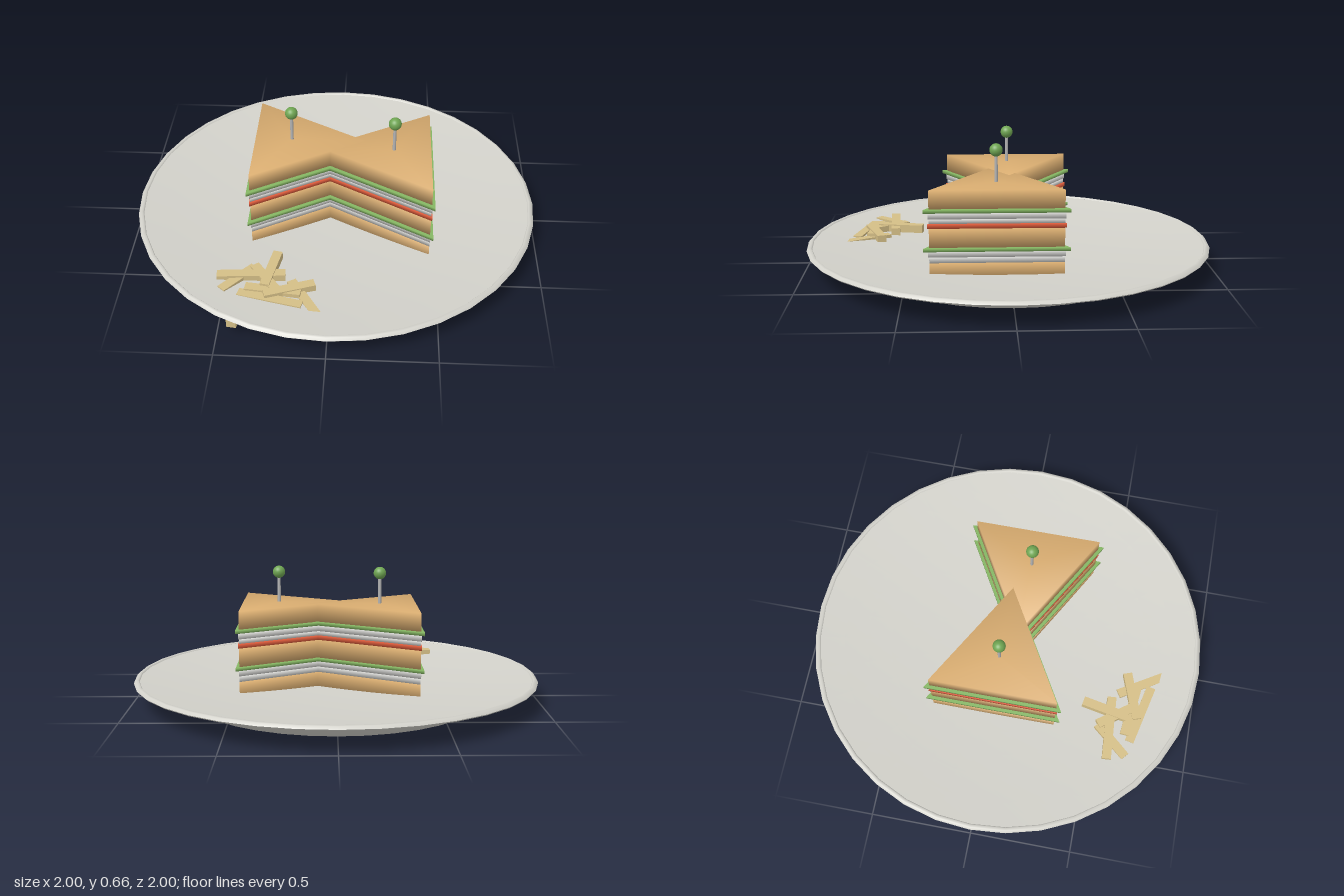
import * as THREE from 'three';
import { mergeVertices } from 'three/addons/utils/BufferGeometryUtils.js';

const material = (name, color, side = THREE.FrontSide) => {
  const m = new THREE.MeshStandardMaterial({ color, side });
  m.name = name;
  return m;
};

export function createModel() {
  const model = new THREE.Group();
  model.name = 'sandwichPlate';
  const china = material('china', 0xd2d1ca, THREE.DoubleSide);
  const bread = material('bread', 0xd8ac70);
  const lettuce = material('lettuce', 0x84b562);
  const filling = material('filling', 0xd6d6d3);
  const tomato = material('tomato', 0xde5c3c);
  const steel = material('pickStick', 0xb4b4b4);
  const olive = material('olive', 0x6fa552);
  const potato = material('potato', 0xd4be86);

  const add = (parent, name, geometry, mat, x = 0, y = 0, z = 0) => {
    const mesh = new THREE.Mesh(geometry, mat);
    mesh.name = name;
    mesh.position.set(x, y, z);
    parent.add(mesh);
    return mesh;
  };
  const lathe = (points) =>
    new THREE.LatheGeometry(points.map(([r, y]) => new THREE.Vector2(r, y)), 36);

  // Plate: outer shell with lip, and a shallow bowl-shaped top
  const plate = new THREE.Group();
  plate.name = 'plate';
  model.add(plate);
  add(plate, 'plateUnderside', lathe([[0, 0], [0.72, 0], [0.76, 0.03], [0.995, 0.104], [1, 0.11]]), china);
  add(plate, 'plateRim', lathe([[1, 0.11], [0.99, 0.122], [0.978, 0.125], [0.972, 0.117]]), china);
  const bowl = [];
  for (let i = 0; i <= 8; i++) {
    const r = 0.972 * (1 - i / 8);
    bowl.push([r, 0.06 + 0.06 * r * r]);
  }
  add(plate, 'plateTop', lathe(bowl), china);

  // Three-sided slab with normals smoothed over its edges
  const slab = (radius, height) => {
    const g = new THREE.CylinderGeometry(radius, radius, height, 3);
    g.deleteAttribute('normal');
    g.deleteAttribute('uv');
    const merged = mergeVertices(g, 1e-4);
    merged.computeVertexNormals();
    return merged;
  };

  // Layers from the bottom up: name, material, radius, bottom, top
  const layers = [
    ['bottomBread', bread, 0.36, 0.045, 0.131],
    ['lowerMeat', filling, 0.36, 0.132, 0.158],
    ['lowerCheese', filling, 0.365, 0.16, 0.188],
    ['lowerLettuce', lettuce, 0.39, 0.189, 0.205],
    ['middleBread', bread, 0.36, 0.205, 0.294],
    ['tomato', tomato, 0.369, 0.296, 0.317],
    ['upperMeat', filling, 0.36, 0.318, 0.338],
    ['upperCheese', filling, 0.365, 0.34, 0.367],
    ['upperLettuce', lettuce, 0.39, 0.37, 0.387],
    ['topBread', bread, 0.36, 0.387, 0.474],
  ];

  // Two sandwich halves, points facing each other, each with a pick
  const half = (name, x, z, turn, lift) => {
    const group = new THREE.Group();
    group.name = name;
    group.position.set(x, lift, z);
    group.rotation.y = turn;
    for (const [part, mat, radius, low, high] of layers) {
      add(group, part, slab(radius, high - low), mat, 0, (low + high) / 2);
    }
    add(group, 'pickStick', new THREE.CylinderGeometry(0.008, 0.008, 0.22, 12), steel, 0, 0.5);
    add(group, 'pickOlive', new THREE.SphereGeometry(0.031, 24, 16), olive, 0, 0.625);
    model.add(group);
  };
  half('rightSandwichHalf', -0.217, 0, Math.PI / 2, 0.001);
  half('leftSandwichHalf', 0.285, 0.067, -Math.PI / 2, 0);

  // Fries: start x, z, end x, z, centre height
  const fries = new THREE.Group();
  fries.name = 'fries';
  model.add(fries);
  const sticks = [
    [-0.53, 0.6, -0.21, 0.58, 0.1],
    [-0.257, 0.44, -0.3, 0.67, 0.106],
    [-0.36, 0.53, -0.5, 0.69, 0.09],
    [-0.57, 0.61, -0.42, 0.75, 0.078],
    [-0.07, 0.64, -0.3, 0.72, 0.1],
    [-0.42, 0.7, -0.12, 0.77, 0.085],
    [-0.18, 0.61, -0.04, 0.84, 0.08],
    [-0.36, 0.53, -0.23, 0.71, 0.1],
    [-0.4, 0.67, -0.43, 0.88, 0.073],
    [-0.39, 0.67, -0.13, 0.7, 0.094],
  ];
  for (const [x1, z1, x2, z2, y] of sticks) {
    const length = Math.hypot(x2 - x1, z2 - z1);
    const fry = add(fries, 'fry', new THREE.BoxGeometry(length, 0.04, 0.045), potato, (x1 + x2) / 2, y, (z1 + z2) / 2);
    fry.rotation.y = -Math.atan2(z2 - z1, x2 - x1);
  }
  return model;
}
